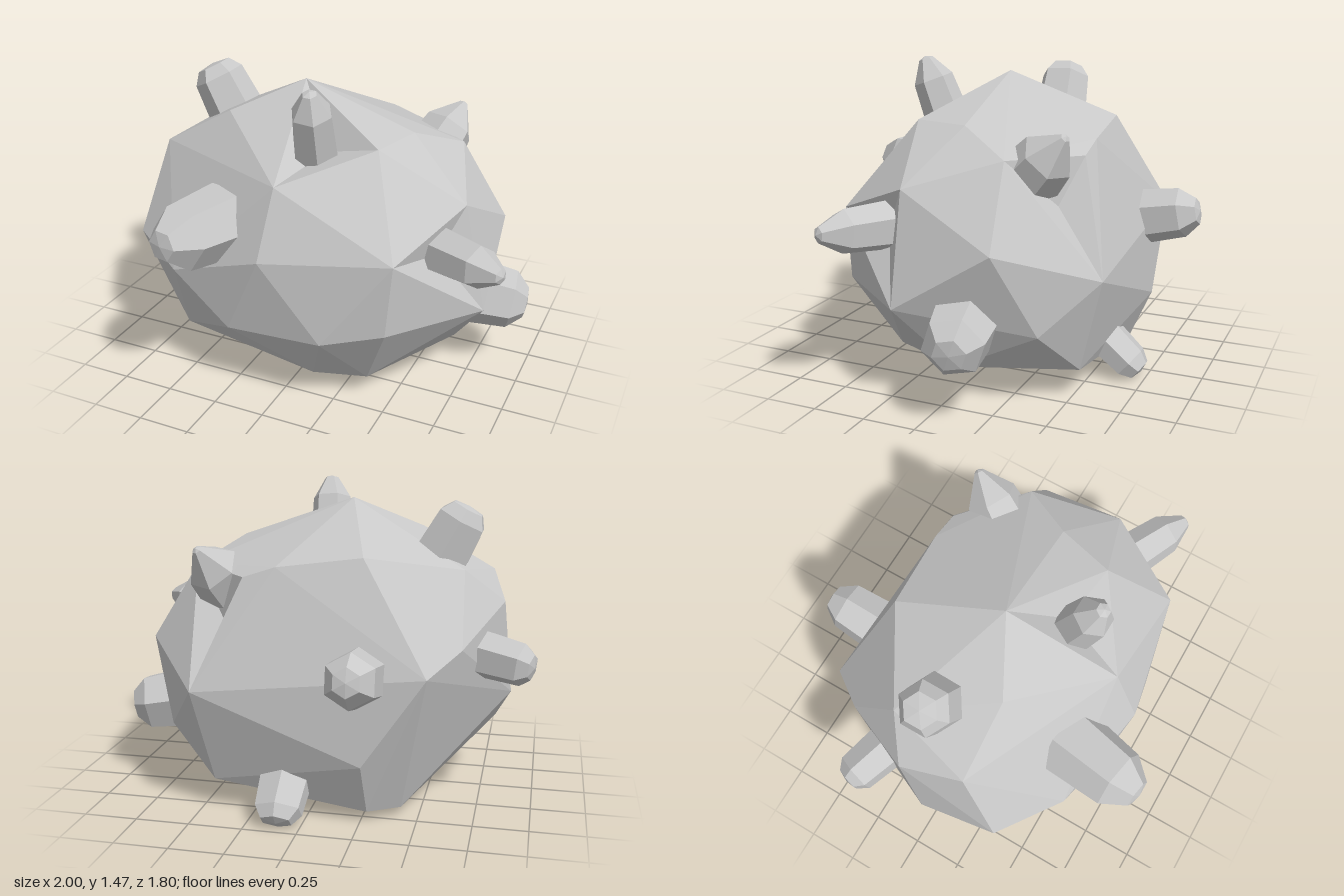
import * as THREE from 'three';
import { ConvexGeometry } from 'three/addons/geometries/ConvexGeometry.js';

const V = (p) => new THREE.Vector3(...p);

// Faceted hull in which each dent replaces the faces above it with a pit down to the given point
function dentedHull(points, dents) {
  const pos = new ConvexGeometry(points.map(V)).getAttribute('position');
  const centre = new THREE.Vector3(0, 0.65, 0);
  let faces = [];
  for (let i = 0; i < pos.count; i += 3) {
    const corners = [0, 1, 2].map((k) => new THREE.Vector3().fromBufferAttribute(pos, i + k));
    faces.push({ corners, plane: new THREE.Plane().setFromCoplanarPoints(...corners) });
  }
  const planes = faces.map((f) => f.plane);
  const pits = [];
  for (const [p, reach] of dents) {
    const pit = V(p), dir = pit.clone().sub(centre).normalize();
    // Point just above the surface over the pit
    const exits = planes.map((pl) => -pl.distanceToPoint(centre) / pl.normal.dot(dir)).filter((t) => t > 0);
    const eye = centre.clone().addScaledVector(dir, Math.min(...exits) + reach);
    const open = faces.filter((f) => f.plane.distanceToPoint(eye) > 0);
    faces = faces.filter((f) => !open.includes(f));
    const edges = open.flatMap(({ corners: [a, b, c] }) => [[a, b], [b, c], [c, a]]);
    for (const [a, b] of edges) {
      if (!edges.some(([c, d]) => c.equals(b) && d.equals(a))) pits.push(a, b, pit);
    }
  }
  return new THREE.BufferGeometry().setFromPoints([...faces.flatMap((f) => f.corners), ...pits]);
}

export function createModel() {
  const group = new THREE.Group();
  const stone = new THREE.MeshStandardMaterial({ color: 0xc8c8c8, flatShading: true });
  stone.name = 'grey stone';

  // Boulder corners in rings from bottom to top
  const rings = [
    // underside
    [[-0.39, 0.04, 0.09], [0.15, 0.13, 0.51], [0.38, 0.1, 0.4], [0.67, 0.16, -0.03],
      [0.44, 0.14, -0.54], [-0.28, 0.05, -0.56], [-0.42, 0.04, -0.45]],
    // lower flank
    [[-0.54, 0.22, 0.48], [-0.22, 0.36, 0.65], [0.25, 0.39, 0.66], [0.53, 0.46, 0.58], [0.86, 0.46, 0.18],
      [0.68, 0.36, -0.43], [-0.27, 0.3, -0.67], [-0.8, 0.3, 0.2], [-0.88, 0.49, 0]],
    // upper flank
    [[-0.53, 0.57, 0.6], [-0.03, 0.76, 0.7], [0.56, 0.81, 0.58], [0.75, 0.97, 0.18], [0.82, 0.74, -0.27],
      [0.51, 0.59, -0.66], [-0.55, 0.71, -0.66], [-0.68, 0.8, -0.47], [-0.84, 0.95, -0.1], [-0.84, 0.62, 0.39]],
    // crown
    [[-0.01, 1.07, 0.56], [0.37, 1.21, 0.29], [0.44, 1.21, 0.02], [0.6, 1.1, -0.24], [0.3, 1.09, -0.5],
      [0.15, 1.14, -0.5], [-0.24, 1.19, -0.47], [-0.66, 1.11, -0.22], [-0.77, 1.05, 0.2], [-0.42, 1.25, 0.2],
      [-0.1, 1.4, 0.03]],
  ];
  // Hollows where crystals break out, and a valley under the front
  const dents = [
    [[0.1, 1.14, 0.24], 0.005],
    [[0.66, 0.76, 0.29], 0.005],
    [[0.42, 0.88, -0.42], 0.005],
    [[-0.27, 0.2, 0.38], 0.03],
  ];
  const boulder = new THREE.Mesh(dentedHull(rings.flat(), dents), stone);
  boulder.geometry.computeVertexNormals();
  boulder.name = 'boulder';
  group.add(boulder);

  // Six-sided crystal from base to tip: tapering shaft, bevelled end, small cap
  function crystal(name, base, tip, radius, shoulder, cap, turn = 0, flatten = 1) {
    const a = V(base), axis = V(tip).sub(a), h = axis.length();
    const profile = [[0, 0], [radius, 0], [radius * 0.84, h * shoulder], [radius * cap, h * 0.97], [0, h]]
      .map(([r, y]) => new THREE.Vector2(r, y));
    const mesh = new THREE.Mesh(new THREE.LatheGeometry(profile, 6, turn), stone);
    mesh.name = name;
    mesh.position.copy(a);
    mesh.quaternion.setFromUnitVectors(new THREE.Vector3(0, 1, 0), axis.normalize());
    mesh.scale.z = flatten;
    group.add(mesh);
  }

  crystal('frontCrystal', [-0.31, 0.82, 0.47], [-0.39, 0.86, 0.9], 0.18, 0.72, 0.4, 0.3);
  crystal('upperRightCrystal', [-0.48, 1.04, -0.07], [-0.66, 1.38, -0.06], 0.15, 0.82, 0.55);
  crystal('topCrystal', [0.06, 1.08, 0.26], [0.09, 1.47, 0.4], 0.115, 0.72, 0.3, 0.5);
  crystal('leftCrystal', [0.6, 0.78, 0.25], [1, 0.8, 0.45], 0.12, 0.7, 0.3);
  crystal('lowerLeftCrystal', [0.66, 0.4, -0.09], [0.99, 0.35, -0.16], 0.17, 0.77, 0.45, 0.4);
  crystal('backCrystal', [-0.25, 0.67, -0.5], [-0.25, 0.75, -0.9], 0.145, 0.78, 0.45);
  crystal('rightCrystal', [-0.62, 0.75, -0.2], [-0.99, 0.7, -0.33], 0.12, 0.85, 0.5, 0.2);
  crystal('pointedCrystal', [0.42, 0.98, -0.27], [0.52, 1.21, -0.49], 0.15, 0.55, 0.15);
  crystal('bottomCrystal', [0.09, 0.27, -0.44], [0.1, 0.03, -0.73], 0.14, 0.82, 0.55, 0, 0.65);

  // Rest on the ground
  group.updateMatrixWorld(true);
  const low = new THREE.Box3().setFromObject(group, true).min.y;
  group.children.forEach((m) => { m.position.y -= low; });
  return group;
}
